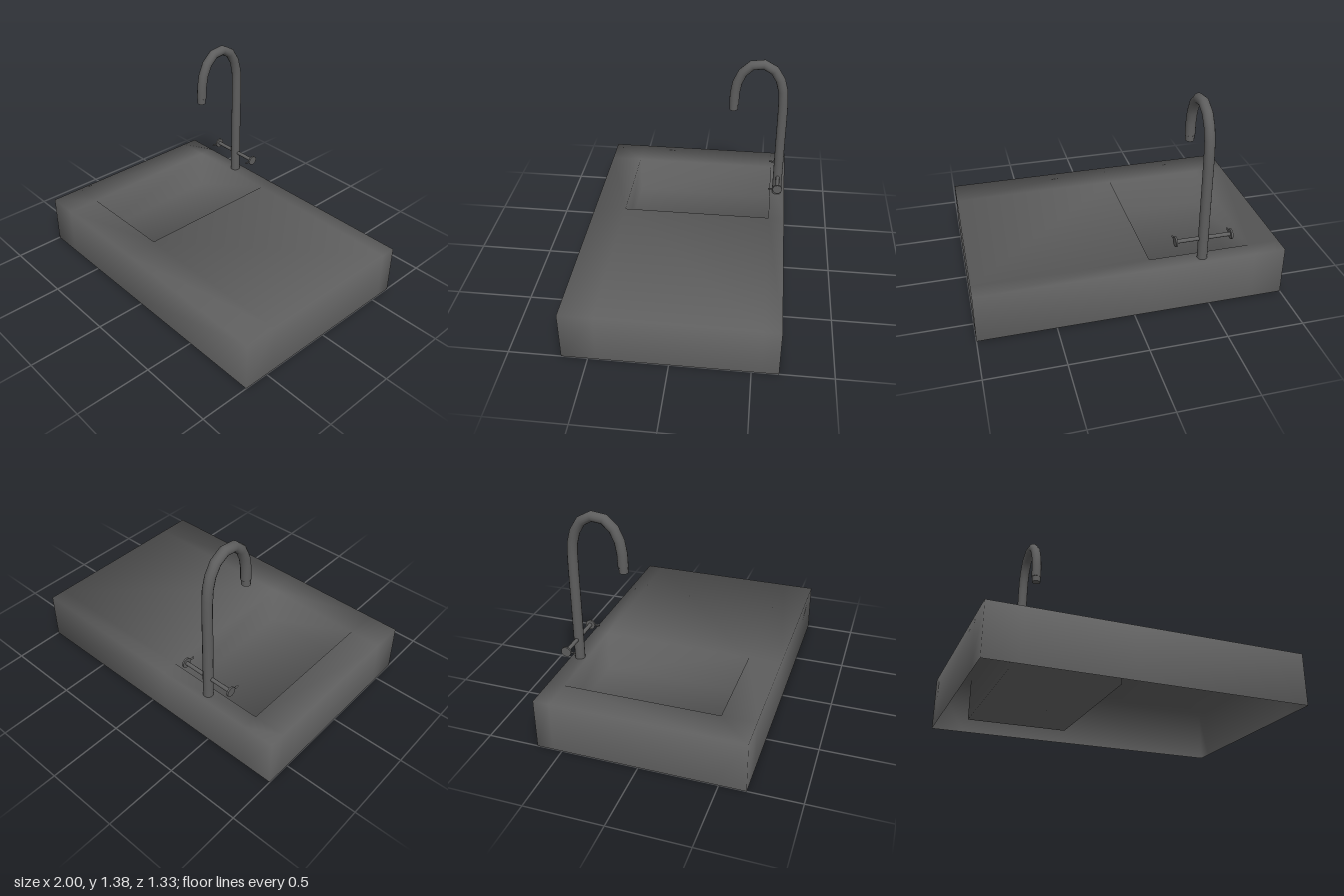
import * as THREE from 'three';
import { mergeVertices } from 'three/addons/utils/BufferGeometryUtils.js';

const material = new THREE.MeshStandardMaterial({ color: 0x5e5e5e, side: THREE.DoubleSide });

function addMesh(parent, name, geometry, x = 0, y = 0, z = 0) {
  const mesh = new THREE.Mesh(geometry, material);
  mesh.name = name;
  mesh.position.set(x, y, z);
  parent.add(mesh);
}

// Smooth normals in which each triangle counts by its angle at the corner
function smoothByAngle(geometry) {
  const position = geometry.attributes.position, index = geometry.index.array;
  const normals = Array.from({ length: position.count }, () => new THREE.Vector3());
  const corner = (i) => new THREE.Vector3().fromBufferAttribute(position, index[i]);
  for (let t = 0; t < index.length; t += 3) {
    for (let k = 0; k < 3; k++) {
      const p = corner(t + k);
      const u = corner(t + (k + 1) % 3).sub(p), v = corner(t + (k + 2) % 3).sub(p);
      const normal = new THREE.Vector3().crossVectors(u, v).normalize();
      normals[index[t + k]].addScaledVector(normal, u.angleTo(v));
    }
  }
  const values = normals.flatMap((n) => n.normalize().toArray());
  geometry.setAttribute('normal', new THREE.Float32BufferAttribute(values, 3));
  return geometry;
}

// Thin shell, open below, split along the lines of the bowl
function sinkGeometry() {
  const xs = [-1, -0.79, -0.12, 1], zs = [-0.667, -0.56, 0.45, 0.667];
  const top = 0.335, bowlFloor = 0.055;
  const positions = [];
  const quad = (a, b, c, d) => positions.push(...[a, b, c, a, c, d].flat());
  const wall = (x0, z0, x1, z1, low, high) =>
    quad([x0, low, z0], [x1, low, z1], [x1, high, z1], [x0, high, z0]);

  // Worktop cells, with the middle one sunk to the bowl floor
  for (let i = 0; i < 3; i++) {
    for (let j = 0; j < 3; j++) {
      const y = i === 1 && j === 1 ? bowlFloor : top;
      quad([xs[i], y, zs[j + 1]], [xs[i + 1], y, zs[j + 1]], [xs[i + 1], y, zs[j]], [xs[i], y, zs[j]]);
    }
  }
  // Outer apron
  for (let i = 0; i < 3; i++) {
    wall(xs[i], zs[3], xs[i + 1], zs[3], 0, top);
    wall(xs[i + 1], zs[0], xs[i], zs[0], 0, top);
    wall(xs[3], zs[i + 1], xs[3], zs[i], 0, top);
    wall(xs[0], zs[i], xs[0], zs[i + 1], 0, top);
  }
  // Bowl walls facing inward
  wall(xs[2], zs[2], xs[1], zs[2], bowlFloor, top);
  wall(xs[1], zs[1], xs[2], zs[1], bowlFloor, top);
  wall(xs[2], zs[1], xs[2], zs[2], bowlFloor, top);
  wall(xs[1], zs[2], xs[1], zs[1], bowlFloor, top);

  const geometry = new THREE.BufferGeometry();
  geometry.setAttribute('position', new THREE.Float32BufferAttribute(positions, 3));
  return smoothByAngle(mergeVertices(geometry));
}

// Upright post and broad-shouldered gooseneck in a few straight runs
function spoutGeometry() {
  const points = [[-0.61, 0.33], [-0.61, 0.7]];
  const steps = 12;
  const soften = (v) => Math.sign(v) * Math.abs(v) ** 0.92;
  for (let i = 0; i <= steps; i++) {
    const t = Math.PI * i / steps;
    points.push([-0.443 - 0.167 * soften(Math.cos(t)), 1.07 + 0.275 * soften(Math.sin(t))]);
  }
  points.push([-0.276, 1.04]);
  const curve = new THREE.CatmullRomCurve3(points.map(([z, y]) => new THREE.Vector3(0, y, z)), false, 'centripetal');
  return new THREE.TubeGeometry(curve, 18, 0.033, 14);
}

export function createModel() {
  const model = new THREE.Group();
  model.name = 'sinkWithTap';
  addMesh(model, 'sinkBody', sinkGeometry());

  const tap = new THREE.Group();
  tap.name = 'tap';
  tap.position.x = -0.453;
  model.add(tap);
  addMesh(tap, 'spout', spoutGeometry());
  addMesh(tap, 'spoutCollar', new THREE.CircleGeometry(0.033, 14).rotateX(Math.PI / 2), 0, 1.04, -0.276);
  addMesh(tap, 'nozzle', new THREE.CylinderGeometry(0.029, 0.029, 0.06, 14), 0, 1.03, -0.274);

  // Crossbar with a round knob and a small lever at each end
  addMesh(tap, 'crossbar', new THREE.CylinderGeometry(0.013, 0.013, 0.37, 12).rotateZ(Math.PI / 2), 0, 0.48, -0.61);
  for (const side of [-1, 1]) {
    const x = side * 0.182;
    addMesh(tap, 'knob', new THREE.CylinderGeometry(0.033, 0.033, 0.012, 20).rotateZ(Math.PI / 2), x, 0.48, -0.61);
    addMesh(tap, 'lever', new THREE.CylinderGeometry(0.006, 0.006, 0.065, 8).rotateX(Math.PI / 2), x, 0.48, -0.578);
  }
  return model;
}
